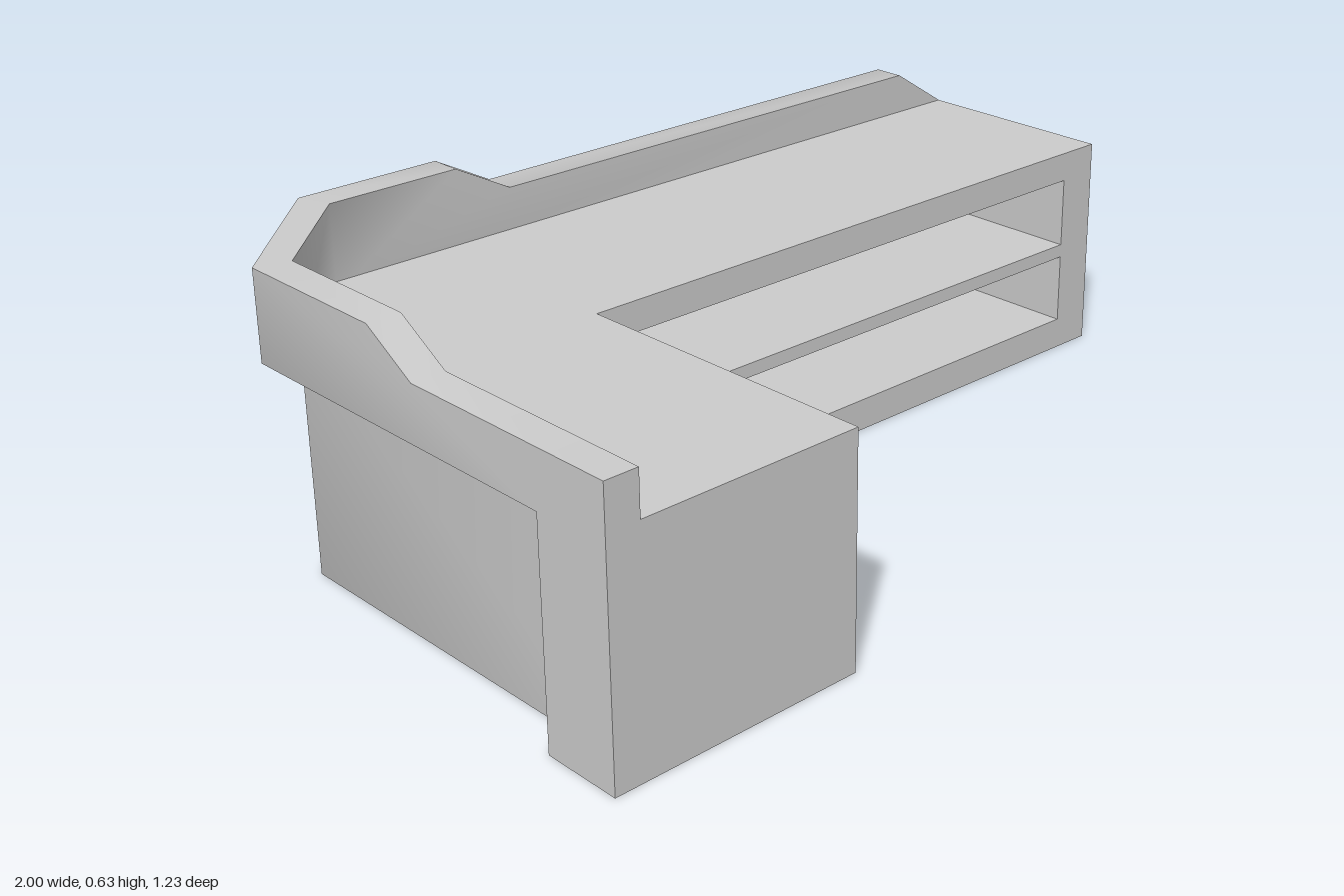
import * as THREE from 'three';
import { mergeGeometries, toCreasedNormals } from 'three/addons/utils/BufferGeometryUtils.js';

const material = new THREE.MeshStandardMaterial({ color: 0xcccccc, side: THREE.DoubleSide });
const DESK_H = 0.475, BAND_Y = 0.45, DEPTH = 0.39, CREASE = 0.9;

const shapeOf = (pts) => new THREE.Shape(pts.map(([x, y]) => new THREE.Vector2(x, y)));
const rect = (x0, y0, x1, y1) => [[x0, y0], [x1, y0], [x1, y1], [x0, y1]];
const lerp = THREE.MathUtils.lerp;

function mesh(name, geometry) {
  const m = new THREE.Mesh(geometry, material);
  m.name = name;
  return m;
}

// Removes triangles lying wholly in any of the given planes, each [axis, value]
function dropFaces(geometry, planes) {
  const g = geometry.index ? geometry.toNonIndexed() : geometry;
  const p = g.attributes.position, kept = [];
  for (let i = 0; i < p.count; i += 3) {
    const corners = [i, i + 1, i + 2];
    const drop = planes.some(([axis, v]) =>
      corners.every((c) => Math.abs(p.getComponent(c, axis) - v) < 1e-4));
    if (!drop) corners.forEach((c) => kept.push(p.getX(c), p.getY(c), p.getZ(c)));
  }
  const out = new THREE.BufferGeometry();
  out.setAttribute('position', new THREE.Float32BufferAttribute(kept, 3));
  out.computeVertexNormals();
  return out;
}

// Upright wall panel drawn in (u, y); place(u, d) gives [x, z], d = 0 outside, 1 inside
function wallPanel(outline, joints, place) {
  const raw = new THREE.ExtrudeGeometry(shapeOf(outline), { depth: 1, bevelEnabled: false });
  const g = dropFaces(raw, [[1, 0], ...joints.map((u) => [0, u])]);
  const p = g.attributes.position;
  for (let i = 0; i < p.count; i++) {
    const [x, z] = place(p.getX(i), p.getZ(i));
    p.setXYZ(i, x, p.getY(i), z);
  }
  return g;
}

// Front sheet with rectangular openings, and an open box behind each
function cabinetFront(name, outline, openings) {
  const group = new THREE.Group();
  group.name = name;
  const sheet = shapeOf(outline);
  for (const [x0, y0, x1, y1] of openings) {
    sheet.holes.push(new THREE.Path(shapeOf(rect(x0, y0, x1, y1)).getPoints().reverse()));
    const box = new THREE.BoxGeometry(x1 - x0, y1 - y0, DEPTH);
    box.translate((x0 + x1) / 2, (y0 + y1) / 2, -DEPTH / 2);
    group.add(mesh('compartment', dropFaces(box, [[2, 0]])));
  }
  group.add(mesh('frontPanel', new THREE.ShapeGeometry(sheet)));
  return group;
}

export function createModel() {
  const model = new THREE.Group();
  model.name = 'receptionDesk';

  // L-shaped counter, hollow and open underneath, outline in (x, -z)
  const plan = shapeOf([
    [-0.93, -0.615], [-0.455, -0.615], [-0.455, 0.07], [1, 0.07],
    [1, 0.545], [-0.715, 0.545], [-0.93, 0.335],
  ]);
  const body = new THREE.ExtrudeGeometry(plan, { depth: DESK_H, bevelEnabled: false });
  body.rotateX(-Math.PI / 2);
  const shell = dropFaces(body, [[1, 0], [2, -0.07], [0, -0.455]]);
  model.add(mesh('counter', toCreasedNormals(shell, CREASE)));

  // Long shelves on the main run
  const shelves = cabinetFront('shelfUnit', rect(-0.455, 0, 1, DESK_H),
    [[-0.375, 0.07, 0.905, 0.225], [-0.375, 0.255, 0.905, 0.41]]);
  shelves.position.z = -0.07;
  model.add(shelves);

  // Single cupboard on the short arm, facing inward
  const cupboard = cabinetFront('armCupboard', rect(-0.615, 0, 0.07, DESK_H),
    [[-0.555, 0.065, 0, 0.36]]);
  cupboard.rotation.y = Math.PI / 2;
  cupboard.position.x = -0.455;
  model.add(cupboard);

  // Side of the outer wall, u = -z, with a leg at its front end
  const side = wallPanel([
    [-0.615, 0], [-0.445, 0], [-0.445, BAND_Y], [0.355, BAND_Y],
    [0.355, 0.635], [0, 0.635], [-0.12, 0.565], [-0.615, 0.565],
  ], [0.355], (u, d) => [lerp(-1, -0.93, d), -lerp(u, Math.min(u, 0.335), d)]);

  // Angled corner band
  const corner = wallPanel(rect(0, BAND_Y, 1, 0.635), [0, 1], (u, d) => [
    lerp(lerp(-1, -0.74, u), lerp(-0.93, -0.715, u), d),
    lerp(lerp(-0.355, -0.615, u), lerp(-0.335, -0.545, u), d),
  ]);

  // Back of the outer wall, with slanted cut-outs
  const back = wallPanel([
    [-0.74, BAND_Y], [0.015, BAND_Y], [0.432, 0], [0.606, 0], [0.19, BAND_Y],
    [0.447, BAND_Y], [0.864, 0], [1, 0], [1, DESK_H], [0.86, 0.565],
    [-0.29, 0.565], [-0.42, 0.635], [-0.74, 0.635],
  ], [-0.74], (u, d) => [lerp(u, Math.max(u, -0.715), d), lerp(-0.615, -0.545, d)]);

  model.add(mesh('outerWall', toCreasedNormals(mergeGeometries([side, corner, back]), CREASE)));
  return model;
}
